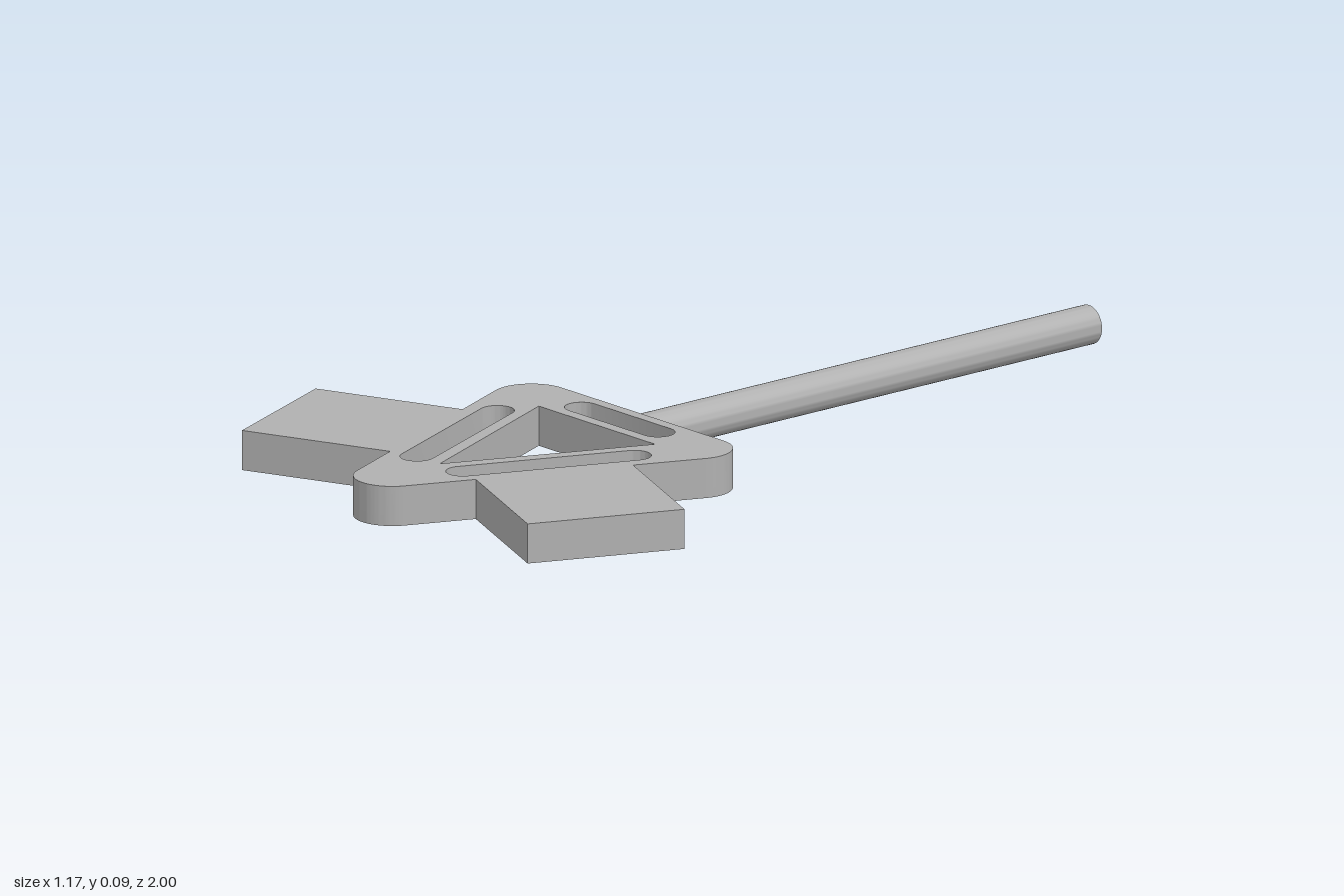
import * as THREE from 'three';
import { toCreasedNormals } from 'three/addons/utils/BufferGeometryUtils.js';

const H = 0.086; // plate thickness
const TILT = 0.395; // slant of the long sides

// Slot hole with round ends between two points given as (x, z)
function slot(x1, z1, x2, z2, r) {
  const a = Math.atan2(z1 - z2, x2 - x1);
  const p = new THREE.Path();
  p.absarc(x2, -z2, r, a - Math.PI / 2, a + Math.PI / 2, false);
  p.absarc(x1, -z1, r, a + Math.PI / 2, a + Math.PI * 1.5, false);
  p.closePath();
  return p;
}

export function createModel() {
  const model = new THREE.Group();
  const grey = new THREE.MeshStandardMaterial({ color: 0xb0b0b0 });
  grey.name = 'grey';

  const add = (name, geometry) => {
    const mesh = new THREE.Mesh(geometry, grey);
    mesh.name = name;
    model.add(mesh);
    return mesh;
  };

  // Triangular plate with rounded corners
  const r = 0.082;
  const plate = new THREE.Shape();
  plate.absarc(0, -0.918, r, Math.PI + TILT, 2 * Math.PI - TILT, false);
  plate.absarc(0.258, -0.312, r, -TILT, Math.PI / 2, false);
  plate.absarc(-0.258, -0.312, r, Math.PI / 2, Math.PI + TILT, false);
  plate.closePath();

  // Central triangular opening and a slot along each side
  plate.holes.push(new THREE.Path([
    new THREE.Vector2(-0.185, -0.355),
    new THREE.Vector2(0, -0.788),
    new THREE.Vector2(0.185, -0.355),
  ]).closePath());
  plate.holes.push(slot(-0.121, 0.292, 0.121, 0.292, 0.036));
  for (const s of [-1, 1]) {
    plate.holes.push(slot(s * 0.073, 0.787, s * 0.218, 0.441, 0.036));
  }

  const plateGeometry = new THREE.ExtrudeGeometry(plate, {
    depth: H, bevelEnabled: false, curveSegments: 20,
  });
  plateGeometry.rotateX(-Math.PI / 2);
  add('framePlate', toCreasedNormals(plateGeometry, 0.6));

  // Square blocks on the two long sides
  for (const s of [-1, 1]) {
    const block = add(s > 0 ? 'leftBlock' : 'rightBlock', new THREE.BoxGeometry(0.346, H, 0.344));
    block.position.set(s * 0.361, H / 2, 0.714);
    block.rotation.y = -s * TILT;
  }

  // Hollow shaft running back from the plate
  const outer = 0.042, inner = 0.026, length = 1.232;
  const profile = [[inner, 0], [outer, 0], [outer, length], [inner, length], [inner, 0]]
    .map(([x, y]) => new THREE.Vector2(x, y));
  const shaftGeometry = new THREE.LatheGeometry(profile, 40);
  shaftGeometry.rotateX(-Math.PI / 2);
  const shaft = add('hollowShaft', toCreasedNormals(shaftGeometry, 0.6));
  shaft.position.set(0, H / 2, 0.232);

  return model;
}
